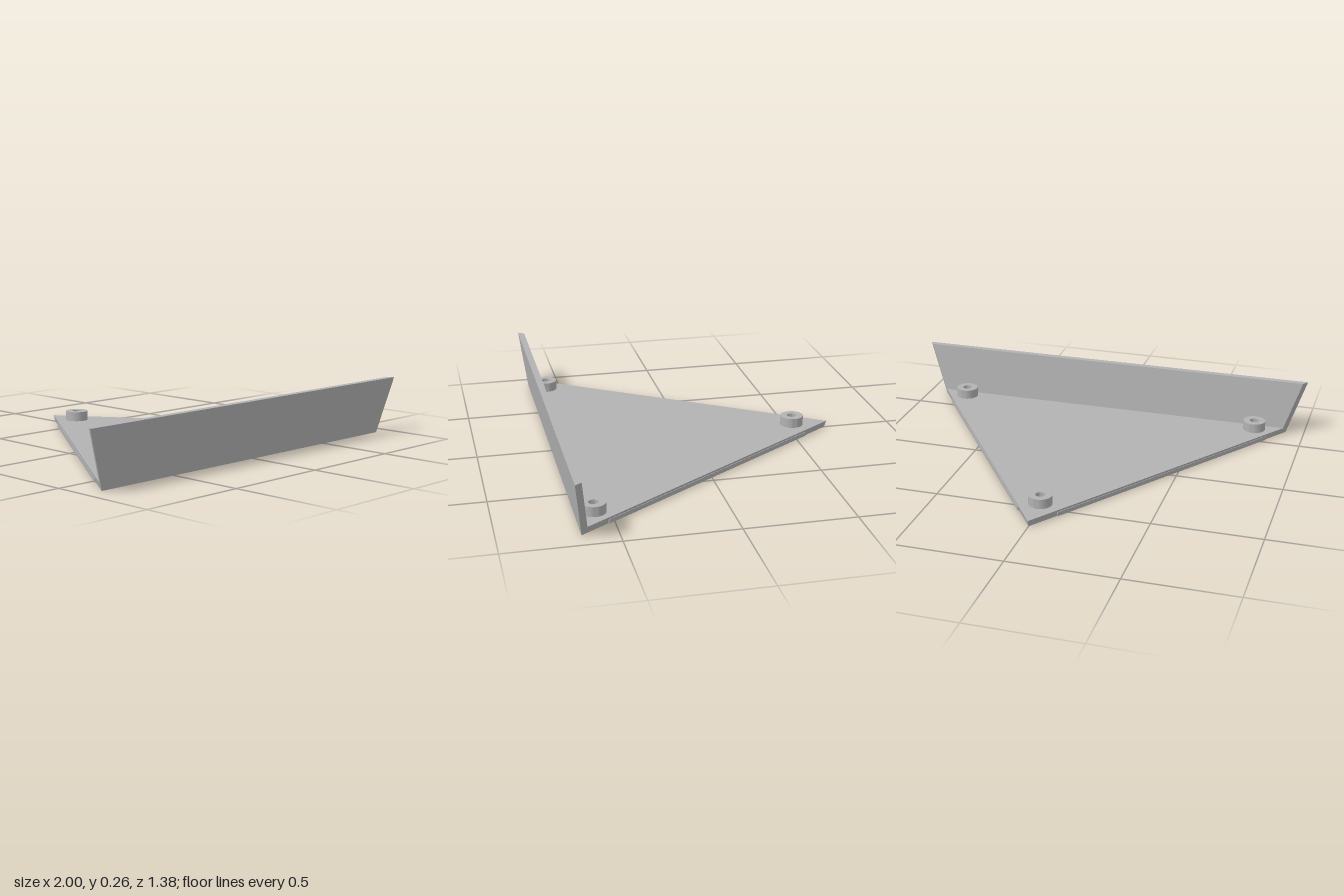
import * as THREE from 'three';
import { toCreasedNormals } from 'three/addons/utils/BufferGeometryUtils.js';

// Flat polygons (corners counter-clockwise from outside) to a faceted geometry
function facets(polys) {
  const pos = [];
  for (const p of polys)
    for (let i = 1; i < p.length - 1; i++) pos.push(...p[0], ...p[i], ...p[i + 1]);
  const g = new THREE.BufferGeometry();
  g.setAttribute('position', new THREE.Float32BufferAttribute(pos, 3));
  g.computeVertexNormals();
  return g;
}

export function createModel() {
  const model = new THREE.Group();
  model.name = 'triangularBracket';
  const grey = new THREE.MeshStandardMaterial({ color: 0xb2b2b2 });
  grey.name = 'plainGrey';
  const add = (name, geometry) => {
    const mesh = new THREE.Mesh(geometry, grey);
    mesh.name = name;
    model.add(mesh);
    return mesh;
  };

  // Corners of the L-shaped profile on the left side, and the two back tips
  const A = [0.91, 0, 0.655], B = [1, 0.265, 0.688];
  const C = [0.98, 0.265, 0.658], D = [0.9, 0.03, 0.628];
  const E = [0, 0, -0.678], F = [0, 0.03, -0.688];
  const m = ([x, y, z]) => [-x, y, z];
  const both = (poly) => [poly, poly.map(m).reverse()];

  // Triangular floor plate with slanted edges
  add('basePlate', facets([
    [m(D), D, F],
    [A, m(A), E],
    ...both([A, E, F, D]),
  ]));

  // Leaning, flared front wall
  add('frontWall', facets([
    [m(A), A, B, m(B)],
    [m(B), B, C, m(C)],
    [D, m(D), m(C), C],
    ...both([A, D, C, B]),
  ]));

  // Shallow ribs along the slanted side edges
  const angle = Math.atan2(0.91, 1.333), out = 0.007 - 0.01;
  for (const side of [1, -1]) {
    const rib = add(side > 0 ? 'leftRib' : 'rightRib',
      new THREE.BoxGeometry(0.02, 0.019, 1.08 / Math.cos(angle)));
    rib.position.set(side * (0.456 + out * Math.cos(angle)), 0.0105, -0.01 - out * Math.sin(angle));
    rib.rotation.y = side * angle;
  }

  // Hollow round mounting bosses near the three corners
  const ring = [[0.022, 0.03], [0.054, 0.03], [0.054, 0.075], [0.022, 0.075], [0.022, 0.03]]
    .map(([r, y]) => new THREE.Vector2(r, y));
  const bossGeometry = toCreasedNormals(new THREE.LatheGeometry(ring, 40), 0.6);
  const bosses = { leftBoss: [0.762, 0.58], rightBoss: [-0.762, 0.58], backBoss: [0, -0.512] };
  for (const [name, [x, z]] of Object.entries(bosses))
    add(name, bossGeometry).position.set(x, 0, z);

  return model;
}
